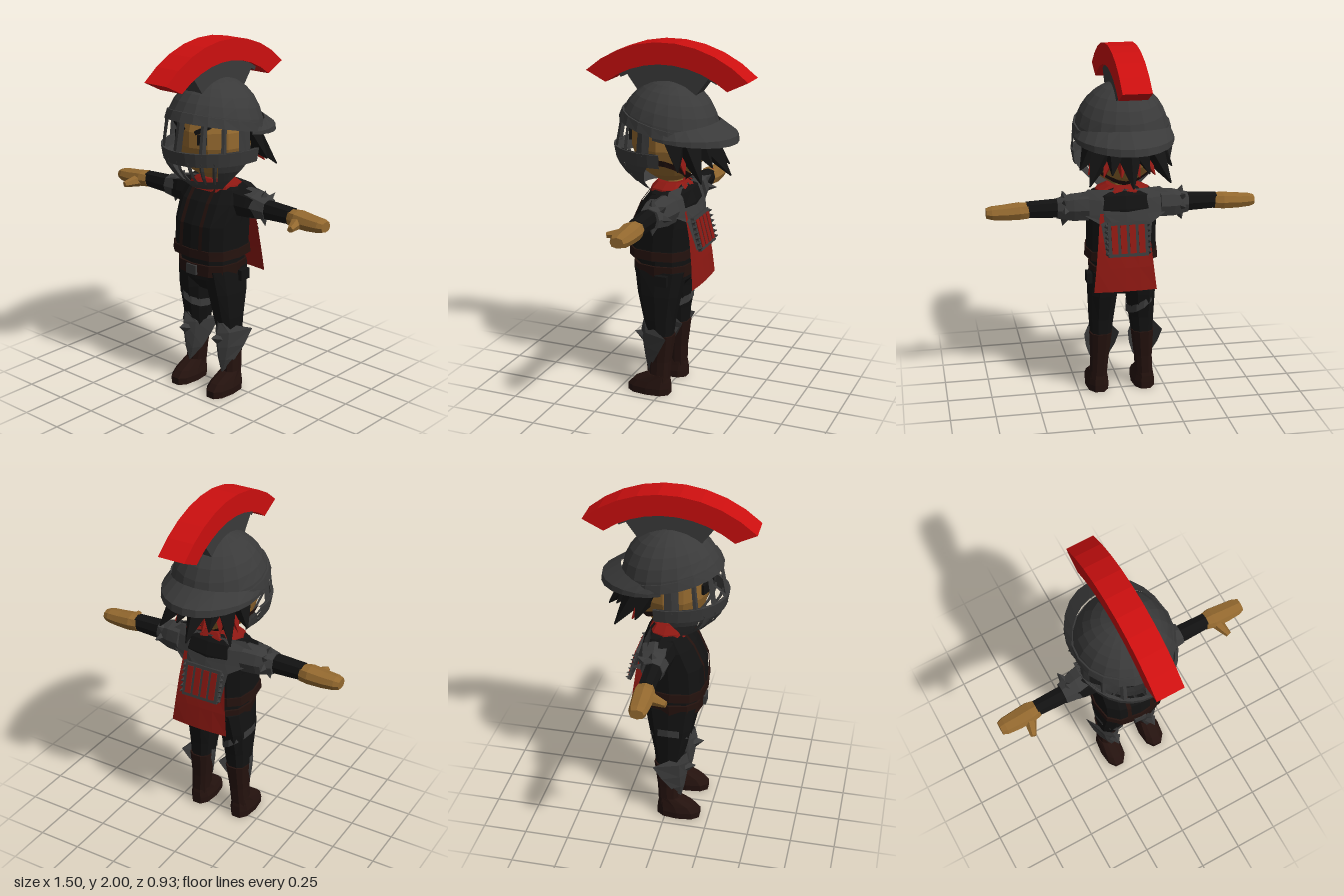
import * as THREE from 'three';

const mat = (color) => new THREE.MeshStandardMaterial({ color, flatShading: true, side: THREE.DoubleSide });
const V = (x, y, z) => new THREE.Vector3(x, y, z);
const { sin, cos, PI, sqrt, abs, sign } = Math;

// surface from a rule f(u, v), with u and v in 0..1
function grid(nu, nv, f) {
  const pos = [], idx = [], w = nv + 1;
  for (let i = 0; i <= nu; i++) for (let j = 0; j <= nv; j++) {
    pos.push(...f(i / nu, j / nv));
    if (i < nu && j < nv) {
      const a = i * w + j;
      idx.push(a, a + w, a + 1, a + w, a + w + 1, a + 1);
    }
  }
  const g = new THREE.BufferGeometry();
  g.setAttribute('position', new THREE.Float32BufferAttribute(pos, 3));
  g.setIndex(idx);
  g.computeVertexNormals();
  return g;
}

// closed body through rings [t, c1, c2, r1, r2] along y (x, z) or along x (z, y)
function loft(rings, axis = 'y', n = 10, p = 0.8) {
  const end = ([t, a, b]) => [t, a, b, 0, 0];
  const all = [end(rings[0]), ...rings, end(rings[rings.length - 1])];
  const pw = (c) => sign(c) * abs(c) ** p;
  return grid(all.length - 1, n, (u, v) => {
    const [t, c1, c2, r1, r2] = all[Math.round(u * (all.length - 1))];
    const a = c1 + r1 * pw(cos(v * 2 * PI)), b = c2 + r2 * pw(sin(v * 2 * PI));
    return axis === 'y' ? [a, t, b] : [t, b, a];
  });
}

// tapered rod or spike between two points
function rod(a, b, r1, r2, n = 4) {
  const d = b.clone().sub(a);
  const g = new THREE.CylinderGeometry(r2, r1, d.length(), n);
  g.applyQuaternion(new THREE.Quaternion().setFromUnitVectors(V(0, 1, 0), d.normalize()));
  return g.translate((a.x + b.x) / 2, (a.y + b.y) / 2, (a.z + b.z) / 2);
}

// open sheet through rows [y, halfWidth, z, depth], bent back towards the edges by depth
const sheet = (rows, cx, n = 4) => grid(rows.length - 1, n, (u, v) => {
  const [y, h, z, d] = rows[Math.round(u * (rows.length - 1))], s = v * 2 - 1;
  return [cx + s * h, y, z - d * s * s];
});

// arched block in the fore-and-aft plane
function arch(rOut, rIn, aOut, aIn, width) {
  const pts = [], n = 9, cy = 1.307;
  for (let i = 0; i <= n; i++) {
    const a = aOut * (2 * i / n - 1);
    pts.push(new THREE.Vector2(rOut * sin(a), cy + rOut * cos(a)));
  }
  for (let i = 0; i <= n; i++) {
    const a = aIn * (1 - 2 * i / n);
    pts.push(new THREE.Vector2(rIn * sin(a), cy + rIn * cos(a)));
  }
  const g = new THREE.ExtrudeGeometry(new THREE.Shape(pts), { depth: width, bevelEnabled: false });
  return g.rotateY(-PI / 2).translate(width / 2 + 0.005, 0, 0);
}

export function createModel() {
  const root = new THREE.Group();
  const M = {
    steel: mat(0x3a3a3a), black: mat(0x121212), brown: mat(0x24120e),
    skin: mat(0x94692f), red: mat(0xcc0f0f), cloth: mat(0x8c1812),
  };
  const add = (name, geo, m, parent = root) => {
    const mesh = new THREE.Mesh(geo, m);
    mesh.name = name;
    parent.add(mesh);
    return mesh;
  };

  // head and face
  add('head', new THREE.SphereGeometry(1, 12, 9).scale(0.22, 0.25, 0.215).translate(0, 1.48, 0), M.skin);
  add('neck', rod(V(0, 1.17, -0.01), V(0, 1.3, -0.01), 0.06, 0.06, 8), M.skin);
  add('chinStrap', grid(14, 1, (u, v) => {
    const a = PI * (0.4 + 1.2 * u), y = 1.32 + 0.06 * cos(a * 2 - PI * 2) * -1 + 0.035 * v - 0.02;
    const k = 1.04 * sqrt(1 - ((y - 1.48) / 0.26) ** 2);
    return [0.22 * k * sin(a), y, 0.215 * k * cos(a)];
  }), M.brown);
  for (const s of [-1, 1]) {
    const name = s > 0 ? 'left' : 'right';
    const brow = add(name + 'Brow', new THREE.BoxGeometry(0.09, 0.022, 0.03), M.black);
    brow.position.set(s * 0.085, 1.545, 0.195);
    brow.rotation.set(0, s * 0.4, s * 0.45);
    const eye = add(name + 'Eye', new THREE.BoxGeometry(0.05, 0.055, 0.02), M.black);
    eye.position.set(s * 0.085, 1.49, 0.2);
    eye.rotation.y = s * 0.4;
  }

  // hair spikes below the back of the helmet
  for (let i = 0; i < 7; i++) {
    const a = PI + (i - 3) * 0.36, long = i % 2 ? 0.35 : 0.3, y = i % 2 ? 1.29 : 1.35;
    add('hairSpike', rod(V(0.15 * sin(a), 1.52, 0.15 * cos(a)), V(long * 0.95 * sin(a), y, long * cos(a)), 0.1, 0.004), M.black);
    if (i < 6) {
      const b = a + 0.18;
      add('redHairSpike', rod(V(0.15 * sin(b), 1.46, 0.15 * cos(b)), V(0.27 * sin(b), 1.33, 0.27 * cos(b)), 0.06, 0.003), M.cloth);
    }
  }

  // helmet
  const helmet = new THREE.Group();
  helmet.name = 'helmet';
  root.add(helmet);
  const rim = (a) => 1.53 + 0.06 * cos(a);
  const dome = (a, y, s = 1) => {
    const k = s * sqrt(Math.max(0, 1 - ((y - 1.5) / 0.3) ** 2));
    return [0.265 * k * sin(a), y, (cos(a) > 0 ? 0.29 : 0.27) * k * cos(a)];
  };
  const bowl = (a, y, s = 1) => {
    const k = s * (1 - 0.5 * ((1.43 - y) / 0.23) ** 2);
    return [0.27 * k * sin(a), y, 0.31 * k * cos(a)];
  };
  add('dome', grid(20, 7, (u, v) => {
    const a = u * 2 * PI;
    return dome(a, 1.5 + 0.3 * cos(v * Math.acos((rim(a) - 1.5) / 0.3)));
  }), M.steel, helmet);
  add('domeRim', grid(20, 3, (u, v) => {
    const a = u * 2 * PI, y = rim(a) + [0, 0, 0.05, 0.05][Math.round(v * 3)];
    return dome(a, y, v > 0.1 && v < 0.9 ? 1.035 : 1);
  }), M.steel, helmet);
  add('neckGuard', grid(14, 2, (u, v) => {
    const a = PI * (0.5 + u), back = -cos(a), drop = [0.05, -0.02, -0.06][Math.round(v * 2)];
    const p = dome(a, 1.53 - 0.01 * back), out = 1 + 0.42 * back * [0, 0.95, 1][Math.round(v * 2)];
    return [p[0] * (1 + (out - 1) * 0.6), 1.53 + drop * (0.3 + back * 0.7), p[2] * out];
  }), M.steel, helmet);
  add('jawRim', grid(16, 3, (u, v) => bowl((u - 0.5) * 3.4, 1.36 + 0.075 * [0, 0, 1, 1][Math.round(v * 3)], v > 0.1 && v < 0.9 ? 1.03 : 0.97)), M.steel, helmet);
  add('chinGuard', grid(12, 2, (u, v) => bowl((u - 0.5) * 2.2, 1.2 + 0.06 * v)), M.steel, helmet);
  for (const s of [-1, 1]) add('cheekGuard', grid(4, 4, (u, v) => {
    const y = 1.2 + 0.24 * v;
    return bowl(s * (0.85 + u * (0.2 + 0.6 * v)), y);
  }), M.steel, helmet);
  for (let i = -3; i <= 3; i++) add('mouthBar', grid(3, 2, (u, v) =>
    bowl(i * 0.26 + (v - 0.5) * 0.09, 1.24 + 0.14 * u, v === 0.5 ? 1.03 : 0.99)), M.steel, helmet);
  for (const [a0, w] of [[0, 0.22], [0.55, 0.13], [-0.55, 0.13], [0.95, 0.1], [-0.95, 0.1], [1.38, 0.26], [-1.38, 0.26]])
    add(a0 ? 'visorBar' : 'noseGuard', grid(1, 2, (u, v) => {
      const a = a0 + (v - 0.5) * w, s = v === 0.5 ? 1.02 : 0.99;
      return u ? dome(a, rim(a) + 0.01, s) : bowl(a, 1.42, s);
    }), M.steel, helmet);
  add('crestHolder', arch(0.585, 0.45, 0.44, 0.38, 0.11), M.steel, helmet);
  add('crestRail', arch(0.585, 0.555, 0.52, 0.52, 0.08), M.steel, helmet);
  add('crest', arch(0.693, 0.575, 0.738, 0.655, 0.155), M.red, helmet);

  // jacket, collar and belt
  add('jacket', loft([[0.81, 0, 0.03, 0.2, 0.175], [0.87, 0, 0.03, 0.195, 0.175], [1.0, 0, 0.022, 0.195, 0.175],
    [1.12, 0, -0.005, 0.2, 0.145], [1.19, 0, -0.02, 0.18, 0.105], [1.23, 0, -0.02, 0.09, 0.07]], 'y', 12, 0.7), M.black);
  add('jacketHem', loft([[0.815, 0, 0.03, 0.207, 0.183], [0.865, 0, 0.03, 0.203, 0.183]], 'y', 12, 0.7), M.brown);
  add('collar', loft([[1.175, 0, -0.01, 0.16, 0.115], [1.21, 0, -0.01, 0.15, 0.1], [1.235, 0, -0.01, 0.09, 0.08]]), M.cloth);
  for (const s of [-1, 1])
    add('jacketTrim', sheet([[0.86, 0.012, 0.208, 0], [1.0, 0.012, 0.197, 0], [1.12, 0.012, 0.143, 0], [1.19, 0.012, 0.09, 0]], s * 0.07, 1), M.brown);
  add('hips', loft([[0.6, 0, 0.02, 0.09, 0.08], [0.68, 0, 0.02, 0.17, 0.15], [0.82, 0, 0.025, 0.175, 0.165]], 'y', 12), M.black);
  add('belt', loft([[0.71, 0, 0.025, 0.182, 0.17], [0.775, 0, 0.025, 0.186, 0.172]], 'y', 12), M.brown);
  add('buckle', new THREE.BoxGeometry(0.07, 0.055, 0.02).translate(0, 0.743, 0.195), M.steel);
  add('beltPouch', new THREE.BoxGeometry(0.03, 0.06, 0.07).translate(0.19, 0.7, -0.02), M.black);

  // arms and legs, one side mirrored to the other
  for (const s of [1, -1]) {
    const side = new THREE.Group();
    side.name = s > 0 ? 'leftLimbs' : 'rightLimbs';
    side.scale.x = s;
    root.add(side);
    const part = (name, geo, m) => add(name, geo, m, side);
    part('sleeve', loft([[0.12, -0.02, 1.12, 0.09, 0.085], [0.25, -0.02, 1.115, 0.075, 0.075],
      [0.36, -0.02, 1.11, 0.05, 0.055], [0.53, -0.02, 1.11, 0.045, 0.047]], 'x', 8), M.black);
    part('hand', loft([[0.52, -0.02, 1.105, 0.047, 0.045], [0.57, -0.018, 1.105, 0.06, 0.048],
      [0.65, -0.016, 1.1, 0.056, 0.043], [0.72, -0.015, 1.1, 0.05, 0.037], [0.75, -0.015, 1.1, 0.038, 0.028]], 'x', 8), M.skin);
    part('thumb', rod(V(0.585, 1.095, 0.015), V(0.61, 1.085, 0.105), 0.036, 0.017, 6), M.skin);
    part('shoulderPad', loft([[0.2, -0.045, 1.12, 0.09, 0.08], [0.28, -0.035, 1.115, 0.083, 0.078], [0.365, -0.025, 1.11, 0.06, 0.058]], 'x', 8), M.steel);
    for (const [y, z] of [[1, 0], [-1, 0], [0, -1], [0.7, -0.7]])
      part('shoulderSpike', rod(V(0.32, 1.11 + y * 0.05, -0.03 + z * 0.05), V(0.335, 1.11 + y * 0.1, -0.03 + z * 0.115), 0.03, 0.001), M.steel);
    part('trouserLeg', loft([[0.74, 0.095, 0.02, 0.085, 0.15], [0.6, 0.108, 0.022, 0.085, 0.125],
      [0.45, 0.115, 0.02, 0.072, 0.092], [0.33, 0.12, 0.012, 0.06, 0.07]]), M.black);
    part('bootShaft', loft([[0.36, 0.12, 0.005, 0.066, 0.076], [0.2, 0.127, 0.01, 0.053, 0.06], [0.07, 0.135, 0.015, 0.05, 0.058]]), M.brown);
    part('bootFoot', loft([[0, 0.135, 0.075, 0.065, 0.128], [0.04, 0.135, 0.075, 0.068, 0.128],
      [0.075, 0.135, 0.06, 0.06, 0.11], [0.12, 0.135, 0.02, 0.05, 0.06]]), M.brown);
    part('shinGuard', sheet([[0.43, 0.02, 0.115, 0.01], [0.37, 0.1, 0.13, 0.19], [0.28, 0.083, 0.118, 0.13],
      [0.2, 0.055, 0.105, 0.07], [0.12, 0.004, 0.085, 0]], 0.125), M.steel);
    part('kneeSpike', rod(V(0.122, 0.335, 0.115), V(0.122, 0.35, 0.17), 0.035, 0.001), M.steel);
  }
  // slanted band on the right thigh
  add('thighStrap', grid(12, 1, (u, v) => {
    const a = u * 2 * PI, x = cos(a);
    return [-0.112 + 0.084 * x, 0.52 - 0.055 * x + 0.045 * v, 0.021 + 0.118 * sin(a)];
  }), M.steel);

  // back plate with grille, and short cape
  add('backPlate', sheet([[1.22, 0.2, -0.1, -0.03], [1.17, 0.27, -0.13, -0.05], [1.09, 0.23, -0.155, -0.04],
    [1.04, 0.14, -0.17, -0.015], [0.88, 0.12, -0.212, -0.01]], 0), M.steel);
  add('cape', sheet([[1.1, 0.13, -0.14, 0], [0.95, 0.145, -0.173, 0], [0.8, 0.16, -0.197, -0.005], [0.67, 0.175, -0.213, -0.01]], 0.015), M.cloth);
  const grille = new THREE.Group();
  grille.name = 'backGrille';
  grille.position.set(0, 0.965, -0.193);
  grille.rotation.x = 0.26;
  root.add(grille);
  add('grilleFrame', new THREE.BoxGeometry(0.22, 0.19, 0.02), M.steel, grille);
  for (let i = 0; i < 4; i++)
    add('grilleSlat', new THREE.BoxGeometry(0.034, 0.155, 0.012).translate((i - 1.5) * 0.05, 0, -0.009), M.cloth, grille);
  for (const s of [-1, 1]) for (let i = 0; i < 6; i++)
    add('plateTooth', rod(V(s * 0.115, 0.075 - i * 0.03, 0), V(s * 0.12, 0.075 - i * 0.03, -0.025), 0.014, 0.001), M.steel, grille);

  return root;
}
